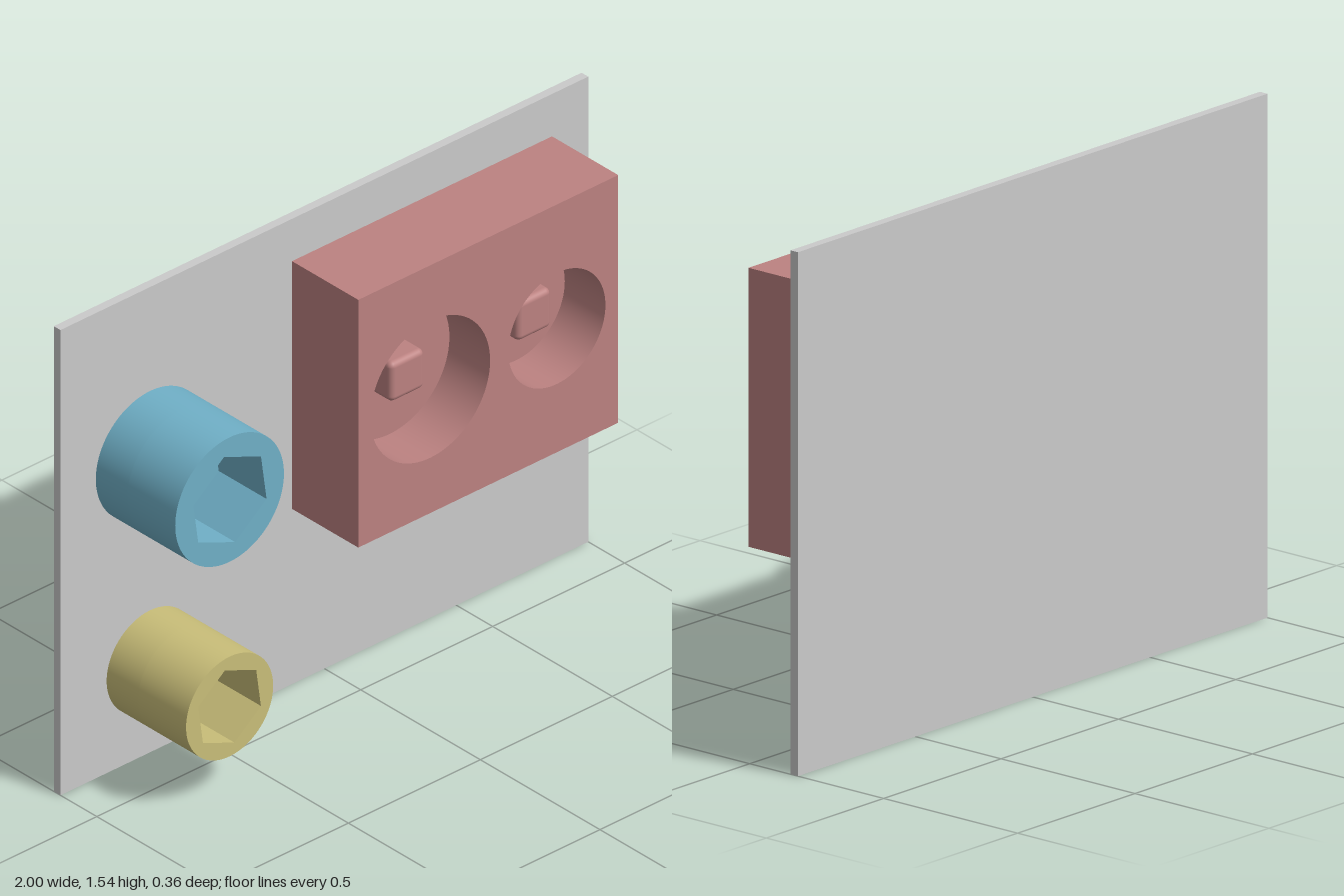
import * as THREE from 'three';
import { toCreasedNormals } from 'three/addons/utils/BufferGeometryUtils.js';
import { RoundedBoxGeometry } from 'three/addons/geometries/RoundedBoxGeometry.js';

function material(name, color) {
  const m = new THREE.MeshStandardMaterial({ color });
  m.name = name;
  return m;
}

function add(parent, name, geometry, mat, x = 0, y = 0, z = 0) {
  const mesh = new THREE.Mesh(geometry, mat);
  mesh.name = name;
  mesh.position.set(x, y, z);
  parent.add(mesh);
}

function circle(r, x = 0, y = 0) {
  return new THREE.Shape().absarc(x, y, r, 0, Math.PI * 2, false);
}

function hexagon(r, turn) {
  const pts = [];
  for (let i = 0; i < 6; i++) {
    const a = turn + (i * Math.PI) / 3;
    pts.push(new THREE.Vector2(Math.cos(a) * r, Math.sin(a) * r));
  }
  return new THREE.Shape(pts);
}

// Extrusion along z with smooth round walls and sharp rims
function extrude(shape, depth) {
  const g = new THREE.ExtrudeGeometry(shape, { depth, bevelEnabled: false, curveSegments: 48 });
  return toCreasedNormals(g, 0.5);
}

// Body with blind recesses: a solid base below a pierced front
function recessed(parent, name, outline, holes, mat, x, y, zBack, zFloor, zFront) {
  const group = new THREE.Group();
  group.name = name;
  group.position.set(x, y, 0);
  parent.add(group);
  add(group, name + 'Base', extrude(outline(), zFloor - zBack), mat, 0, 0, zBack);
  const pierced = outline();
  pierced.holes.push(...holes);
  add(group, name + 'Front', extrude(pierced, zFront - zFloor), mat, 0, 0, zFloor);
  return group;
}

export function createModel() {
  const model = new THREE.Group();
  model.name = 'socketPanel';
  const grey = material('plateGrey', 0xcacaca);
  const red = material('dustyRed', 0xbc8281);
  const blue = material('softBlue', 0x70b0c7);
  const yellow = material('sandYellow', 0xc9be79);
  const zPlate = -0.152;

  // Back plate
  add(model, 'backPlate', new THREE.BoxGeometry(2, 1.54, 0.028), grey, 0, 0.77, -0.166);

  // Cylinders with hexagonal sockets
  const turn = THREE.MathUtils.degToRad(98);
  recessed(model, 'largeHexSocket', () => circle(0.206), [hexagon(0.151, turn)], blue,
    -0.66, 0.99, zPlate, -0.02, 0.18);
  recessed(model, 'smallHexSocket', () => circle(0.165), [hexagon(0.128, turn)], yellow,
    -0.66, 0.305, zPlate, -0.02, 0.18);

  // Block with two round wells
  const w = 0.4925, h = 0.41;
  const rectangle = () => new THREE.Shape([
    new THREE.Vector2(-w, -h), new THREE.Vector2(w, -h),
    new THREE.Vector2(w, h), new THREE.Vector2(-w, h),
  ]);
  const cx = 0.37, floor = -0.045;
  const wells = [{ x: 0.15, r: 0.227 }, { x: 0.63, r: 0.184 }];
  const block = recessed(model, 'wellBlock', rectangle,
    wells.map((s) => circle(s.r, s.x - cx, 0)), red, cx, 0.99, zPlate, floor, 0.125);

  // Rounded peg on the floor of each well
  for (const s of wells) {
    add(block, 'peg', new RoundedBoxGeometry(0.13, 0.13, 0.1, 3, 0.018), red, s.x - cx, 0, floor + 0.028);
  }
  return model;
}
